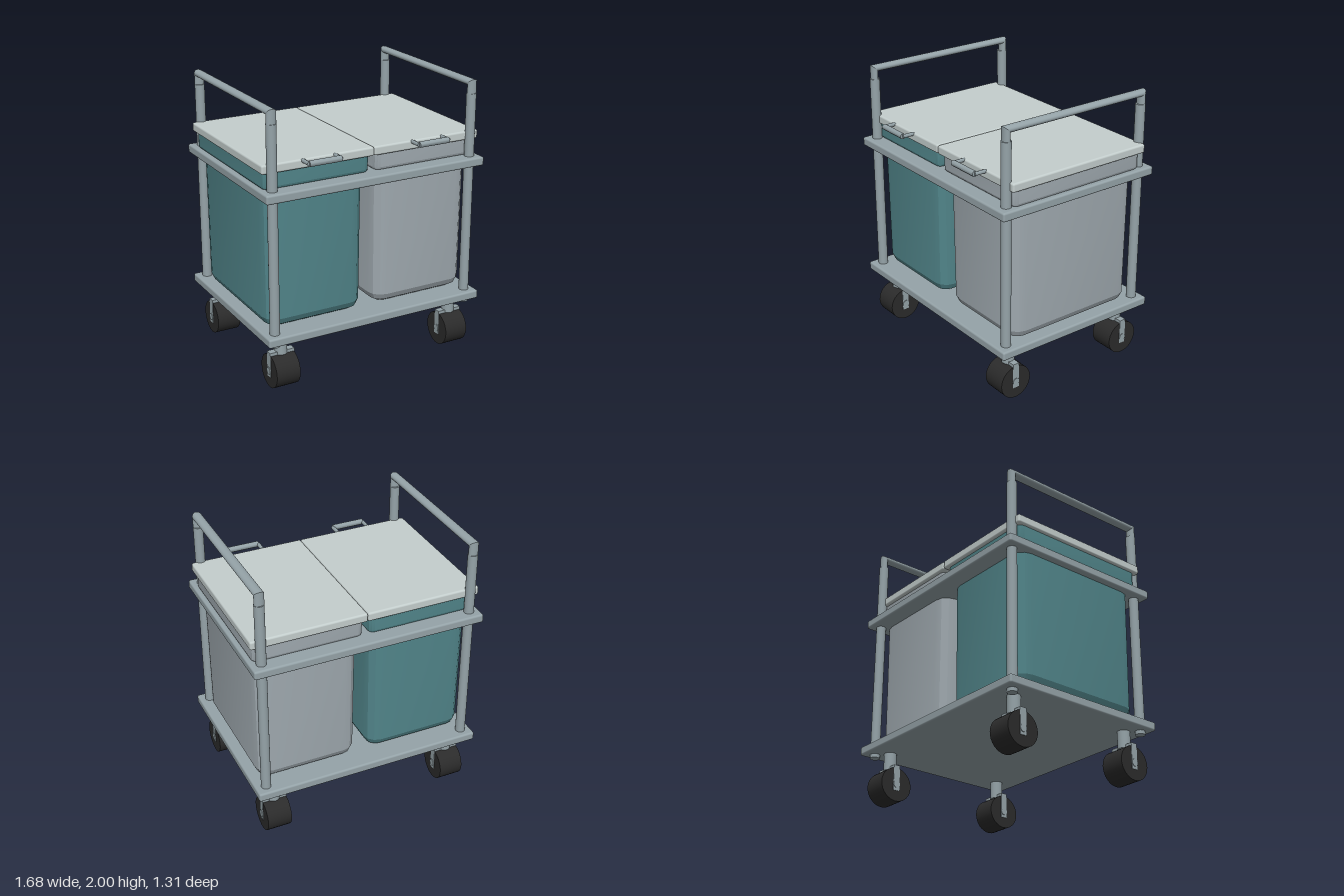
import * as THREE from 'three';
import { toCreasedNormals } from 'three/addons/utils/BufferGeometryUtils.js';
import { RoundedBoxGeometry } from 'three/addons/geometries/RoundedBoxGeometry.js';

const material = (name, color) => {
  const m = new THREE.MeshStandardMaterial({ color });
  m.name = name;
  return m;
};

// Skin over a list of rings with equal point counts, optionally capped
function loft(rings, caps = true) {
  const n = rings[0].length, pos = rings.flat(2), index = [];
  for (let r = 0; r < rings.length - 1; r++) {
    for (let i = 0; i < n; i++) {
      const a = r * n + i, b = r * n + (i + 1) % n;
      index.push(a, a + n, b, b, a + n, b + n);
    }
  }
  if (caps) {
    const last = (rings.length - 1) * n;
    for (let i = 1; i < n - 1; i++) {
      index.push(0, i, i + 1, last, last + i + 1, last + i);
    }
  }
  const g = new THREE.BufferGeometry();
  g.setAttribute('position', new THREE.Float32BufferAttribute(pos, 3));
  g.setIndex(index);
  g.computeVertexNormals();
  return g;
}

// Horizontal rounded rectangle at height y
function roundedRing(hx, hz, radius, y, steps = 3) {
  const ring = [];
  [[1, 1], [-1, 1], [-1, -1], [1, -1]].forEach(([sx, sz], q) => {
    for (let i = 0; i <= steps; i++) {
      const t = (q + i / steps) * Math.PI / 2;
      ring.push([sx * (hx - radius) + radius * Math.cos(t), y, sz * (hz - radius) + radius * Math.sin(t)]);
    }
  });
  return ring;
}

// Faceted tub from rows of [height, inset, corner radius]
const tub = (hx, hz, rows) =>
  toCreasedNormals(loft(rows.map(([y, inset, r]) => roundedRing(hx - inset, hz - inset, r, y))), 0.3);

// Oval section of the push handle; dy and dz give its outward lean
function ovalRing(y, z, dy, dz) {
  return Array.from({ length: 20 }, (_, i) => {
    const t = i / 20 * Math.PI * 2, o = 0.024 * Math.sin(t);
    return [0.035 * Math.cos(t), y + o * dy, z + o * dz];
  });
}

export function createModel() {
  const frame = material('frame grey', 0x95a3a8);
  const lidPaint = material('pale lid grey', 0xc4cecd);
  const binGrey = material('bin grey', 0x9fa9af);
  const binTeal = material('bin teal', 0x51858a);
  const rubber = material('black rubber', 0x2b2b2b);

  const model = new THREE.Group();
  model.name = 'binTrolley';
  const body = new THREE.Group();
  body.name = 'trolley';
  body.position.set(-0.001, 0, -0.009);
  model.add(body);

  const add = (parent, name, geometry, mat, x = 0, y = 0, z = 0) => {
    const mesh = new THREE.Mesh(geometry, mat);
    mesh.name = name;
    mesh.position.set(x, y, z);
    parent.add(mesh);
    return mesh;
  };

  // Lower deck and upper frame plate
  const deck = new RoundedBoxGeometry(1.684, 0.064, 1.288, 3, 0.014);
  add(body, 'lowerDeck', deck, frame, 0, 0.404, 0);
  add(body, 'upperDeck', deck, frame, 0, 1.419, 0);

  // Corner posts
  const post = new THREE.CylinderGeometry(0.035, 0.035, 1.555, 24);
  for (const x of [-0.765, 0.765]) {
    for (const z of [-0.567, 0.567]) add(body, 'post', post, frame, x, 1.1225, z);
  }

  // Push handles: oval bar with mitred corners
  const stations = [
    ovalRing(1.88, 0.57, 0, 1), ovalRing(1.976, 0.57, 1, 1),
    ovalRing(1.976, -0.57, 1, -1), ovalRing(1.88, -0.57, 0, -1),
  ];
  for (const x of [-0.765, 0.765]) {
    const handle = new THREE.Group();
    handle.name = 'pushHandle';
    handle.position.x = x;
    body.add(handle);
    ['frontUpright', 'topBar', 'backUpright'].forEach((name, i) =>
      add(handle, name, loft([stations[i], stations[i + 1]], false), frame));
  }

  // Bins with rim, lid and lid grip
  const shell = tub(0.377, 0.518, [
    [0.437, 0.065, 0.05], [0.46, 0.028, 0.075], [0.505, 0.006, 0.1], [1.43, 0, 0.1],
  ]);
  const rim = tub(0.396, 0.54, [
    [1.45, 0.012, 0.03], [1.458, 0.004, 0.035], [1.47, 0, 0.04], [1.575, 0, 0.04],
  ]);
  const lid = new RoundedBoxGeometry(0.834, 0.064, 1.128, 3, 0.014);
  const gripBar = new THREE.CylinderGeometry(0.021, 0.021, 0.236, 8).rotateY(Math.PI / 8).rotateZ(Math.PI / 2);
  const gripArm = new THREE.CylinderGeometry(0.014, 0.014, 0.09, 8).rotateX(Math.PI / 2);
  for (const side of [-1, 1]) {
    const bin = new THREE.Group();
    bin.name = side < 0 ? 'rightBin' : 'leftBin';
    bin.position.x = side * 0.418;
    body.add(bin);
    const paint = side < 0 ? binTeal : binGrey;
    add(bin, 'binShell', shell, paint);
    add(bin, 'binRim', rim, paint);
    add(bin, 'lid', lid, lidPaint, 0, 1.598, 0);
    add(bin, 'gripBar', gripBar, frame, 0, 1.62, 0.643);
    for (const x of [-0.119, 0.119]) add(bin, 'gripArm', gripArm, frame, x, 1.62, 0.6);
  }

  // Casters
  const stem = new THREE.CylinderGeometry(0.045, 0.045, 0.14, 20);
  const bridge = new THREE.BoxGeometry(0.184, 0.024, 0.05);
  const plate = new THREE.BoxGeometry(0.012, 0.18, 0.05);
  const wheel = new THREE.CylinderGeometry(0.122, 0.122, 0.178, 32).rotateZ(Math.PI / 2);
  const axle = new THREE.CylinderGeometry(0.027, 0.027, 0.194, 16).rotateZ(Math.PI / 2);
  for (const x of [-0.685, 0.685]) {
    for (const z of [-0.488, 0.488]) {
      const caster = new THREE.Group();
      caster.name = 'caster';
      caster.position.set(x, 0, z);
      body.add(caster);
      add(caster, 'stem', stem, frame, 0, 0.315, 0);
      add(caster, 'forkBridge', bridge, frame, 0, 0.254, 0);
      for (const s of [-1, 1]) add(caster, 'forkPlate', plate, frame, s * 0.086, 0.17, 0);
      add(caster, 'wheel', wheel, rubber, 0, 0.124, 0);
      add(caster, 'axle', axle, frame, 0, 0.126, 0);
    }
  }
  return model;
}
